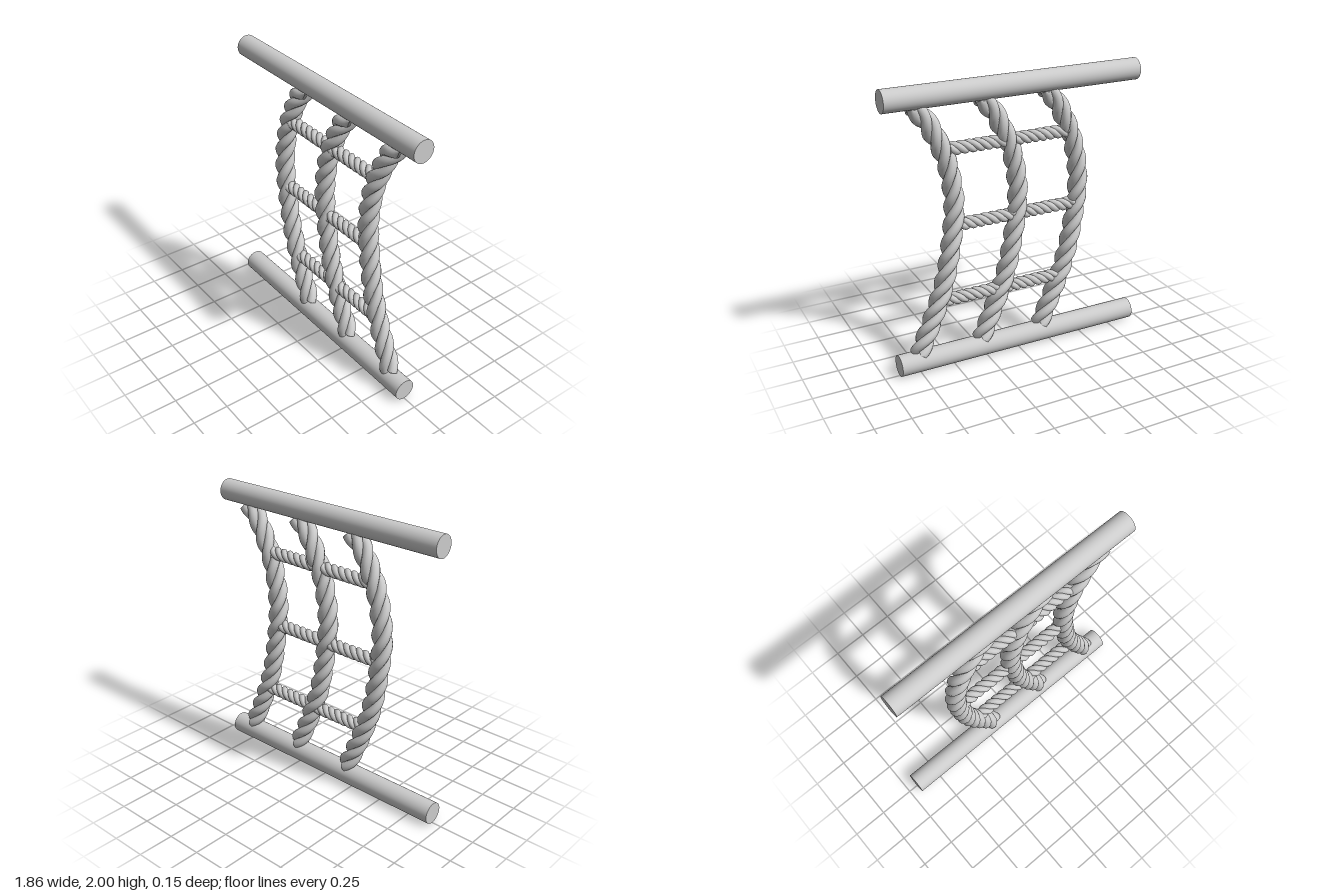
import * as THREE from 'three';

const material = new THREE.MeshStandardMaterial({ color: 0xcccccc });
const STRANDS = 3;

// One strand winding right-handed around a centre curve lying in the xy plane
class StrandCurve extends THREE.Curve {
  constructor(core, offset, pitch, phase) {
    super();
    Object.assign(this, { core, offset, phase, turns: core.getLength() / pitch });
  }
  getPoint(t, target = new THREE.Vector3()) {
    const p = this.core.getPointAt(t);
    const d = this.core.getTangentAt(t);
    const a = this.phase + t * this.turns * Math.PI * 2;
    const c = Math.cos(a) * this.offset;
    return target.set(p.x - d.y * c, p.y + d.x * c, p.z + Math.sin(a) * this.offset);
  }
}

// Tube whose end rings are drawn to a point so that the strand is closed
function strandGeometry(curve, segments, radius, sides) {
  const geometry = new THREE.TubeGeometry(curve, segments, radius, sides, false);
  const pos = geometry.attributes.position;
  for (const t of [0, 1]) {
    const tip = curve.getPointAt(t);
    for (let j = 0; j <= sides; j++) {
      pos.setXYZ(t * segments * (sides + 1) + j, tip.x, tip.y, tip.z);
    }
  }
  return geometry;
}

function makeRope(name, core, { offset, radius, pitch, segments, sides, phase = 0 }) {
  const rope = new THREE.Group();
  rope.name = name;
  for (let i = 0; i < STRANDS; i++) {
    const curve = new StrandCurve(core, offset, pitch, phase + (i / STRANDS) * Math.PI * 2);
    const strand = new THREE.Mesh(strandGeometry(curve, segments, radius, sides), material);
    strand.name = 'strand';
    rope.add(strand);
  }
  return rope;
}

function makeRail(name, x0, x1, y) {
  const geometry = new THREE.CylinderGeometry(0.075, 0.075, x1 - x0, 40).rotateZ(Math.PI / 2);
  const rail = new THREE.Mesh(geometry, material);
  rail.name = name;
  rail.position.set((x0 + x1) / 2, y, 0);
  return rail;
}

export function createModel() {
  const model = new THREE.Group();
  model.name = 'ropeNet';

  // Round rails at top and bottom
  model.add(makeRail('topRail', -0.9, 0.925, 1.925));
  model.add(makeRail('bottomRail', -0.93, 0.895, 0.075));

  // Three thick bowed ropes between the rails
  const bow = [
    [-0.18, 0.13], [-0.225, 0.23], [-0.315, 0.44], [-0.387, 0.65], [-0.44, 0.915],
    [-0.467, 1.18], [-0.45, 1.36], [-0.408, 1.53], [-0.345, 1.67], [-0.285, 1.78], [-0.2, 1.865],
  ];
  ['rightRope', 'middleRope', 'leftRope'].forEach((name, i) => {
    const core = new THREE.CatmullRomCurve3(
      bow.map(([x, y]) => new THREE.Vector3(x + i * 0.464, y, 0)));
    model.add(makeRope(name, core, {
      offset: 0.036, radius: 0.034, pitch: 0.4, segments: 150, sides: 12, phase: 0.5,
    }));
  });

  // Thin horizontal ropes, ending inside the outer bowed ropes
  const rungs = [['lowerRung', 0.495, -0.32, 0.58], ['middleRung', 1.03, -0.45, 0.47], ['upperRung', 1.56, -0.4, 0.52]];
  for (const [name, y, x0, x1] of rungs) {
    const core = new THREE.LineCurve3(new THREE.Vector3(x0, y, 0), new THREE.Vector3(x1, y, 0));
    model.add(makeRope(name, core, {
      offset: 0.024, radius: 0.022, pitch: 0.17, segments: 130, sides: 10,
    }));
  }
  return model;
}
